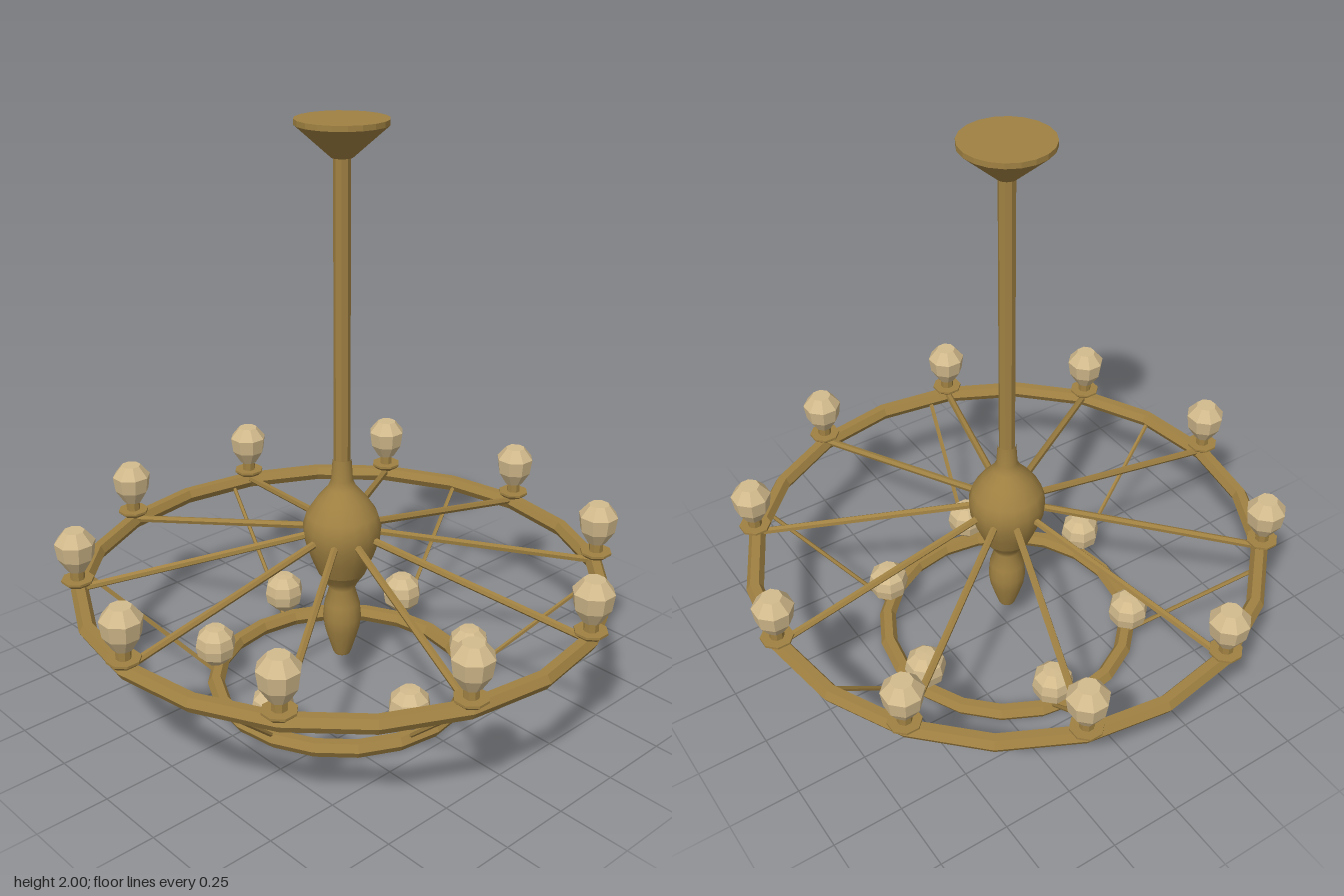
import * as THREE from 'three';

const brass = new THREE.MeshStandardMaterial({ color: 0xa08142 });
brass.name = 'brass';
const glass = new THREE.MeshStandardMaterial({ color: 0xd2ba8c });
glass.name = 'warmGlass';

// Flat-shaded geometry without changing the shared materials
function faceted(geometry) {
  const g = geometry.index ? geometry.toNonIndexed() : geometry;
  g.computeVertexNormals();
  return g;
}

function add(parent, name, geometry, material = brass) {
  const mesh = new THREE.Mesh(geometry, material);
  mesh.name = name;
  parent.add(mesh);
  return mesh;
}

function lathe(points, sides, phi = 0) {
  return new THREE.LatheGeometry(points.map(([r, y]) => new THREE.Vector2(r, y)), sides, phi);
}

// Straight rod between two points
function rod(parent, name, a, b, radius, sides) {
  const mesh = add(parent, name, faceted(new THREE.CylinderGeometry(radius, radius, a.distanceTo(b), sides)));
  mesh.position.copy(a).lerp(b, 0.5);
  mesh.quaternion.setFromUnitVectors(new THREE.Vector3(0, 1, 0), b.clone().sub(a).normalize());
}

const polar = (r, angle, y) => new THREE.Vector3(r * Math.cos(angle), y, r * Math.sin(angle));

function ring(parent, name, radius, y) {
  const g = new THREE.TorusGeometry(radius, 0.03, 6, 20).rotateX(-Math.PI / 2);
  add(parent, name, faceted(g)).position.y = y;
}

export function createModel() {
  const model = new THREE.Group();
  model.name = 'chandelier';

  // Ceiling canopy and hanging rod
  add(model, 'canopy', faceted(lathe([[0, 1.88], [0.035, 1.88], [0.15, 1.982], [0.15, 2], [0, 2]], 20)));
  const stem = add(model, 'stem', faceted(new THREE.CylinderGeometry(0.028, 0.028, 1.06, 8)));
  stem.position.y = 1.36;

  // Turned central body
  add(model, 'hub', lathe([
    [0.085, 0.45], [0.11, 0.51], [0.13, 0.57], [0.135, 0.625], [0.122, 0.67],
    [0.085, 0.725], [0.05, 0.765], [0.037, 0.795], [0.032, 0.87],
  ], 16));
  add(model, 'finial', lathe([
    [0.032, 0.13], [0.045, 0.17], [0.061, 0.225], [0.067, 0.27], [0.062, 0.325],
    [0.045, 0.385], [0.06, 0.415], [0.085, 0.45],
  ], 16));
  const cap = add(model, 'finialTip', faceted(new THREE.CylinderGeometry(0.032, 0.028, 0.01, 16)));
  cap.position.y = 0.127;

  // Two rings
  ring(model, 'upperRing', 0.9, 0.426);
  ring(model, 'lowerRing', 0.45, 0.026);

  // Upper tier: ten spokes, each ending in a lamp on a small stand
  const shade = faceted(lathe([[0, 0.505], [0.032, 0.505], [0.062, 0.553], [0.07, 0.61], [0.036, 0.652], [0, 0.652]], 8, Math.PI / 8));
  const stand = faceted(lathe([[0, 0.45], [0.04, 0.45], [0.056, 0.464], [0.056, 0.472], [0.025, 0.472], [0.025, 0.512], [0, 0.512]], 8, Math.PI / 8));
  for (let i = 0; i < 10; i++) {
    const a = (i * Math.PI) / 5;
    rod(model, 'spoke', polar(0.09, a, 0.598), polar(0.89, a, 0.435), 0.013, 6);
    const lamp = new THREE.Group();
    lamp.name = 'upperLamp';
    lamp.position.copy(polar(0.904, a, 0));
    add(lamp, 'lampStand', stand);
    add(lamp, 'lampShade', shade, glass);
    model.add(lamp);
  }

  // Lower tier: six globes, each beside a slanted tie rod
  const globe = faceted(lathe([[0, 0.08], [0.036, 0.082], [0.066, 0.112], [0.073, 0.15], [0.066, 0.187], [0.036, 0.217], [0, 0.219]], 8, Math.PI / 8));
  for (let i = 0; i < 6; i++) {
    const a = ((43 + i * 60) * Math.PI) / 180;
    rod(model, 'tieRod', polar(0.45, a, 0.035), polar(0.88, a, 0.42), 0.008, 5);
    add(model, 'lowerGlobe', globe, glass).position.copy(polar(0.45, a, 0));
  }
  return model;
}
